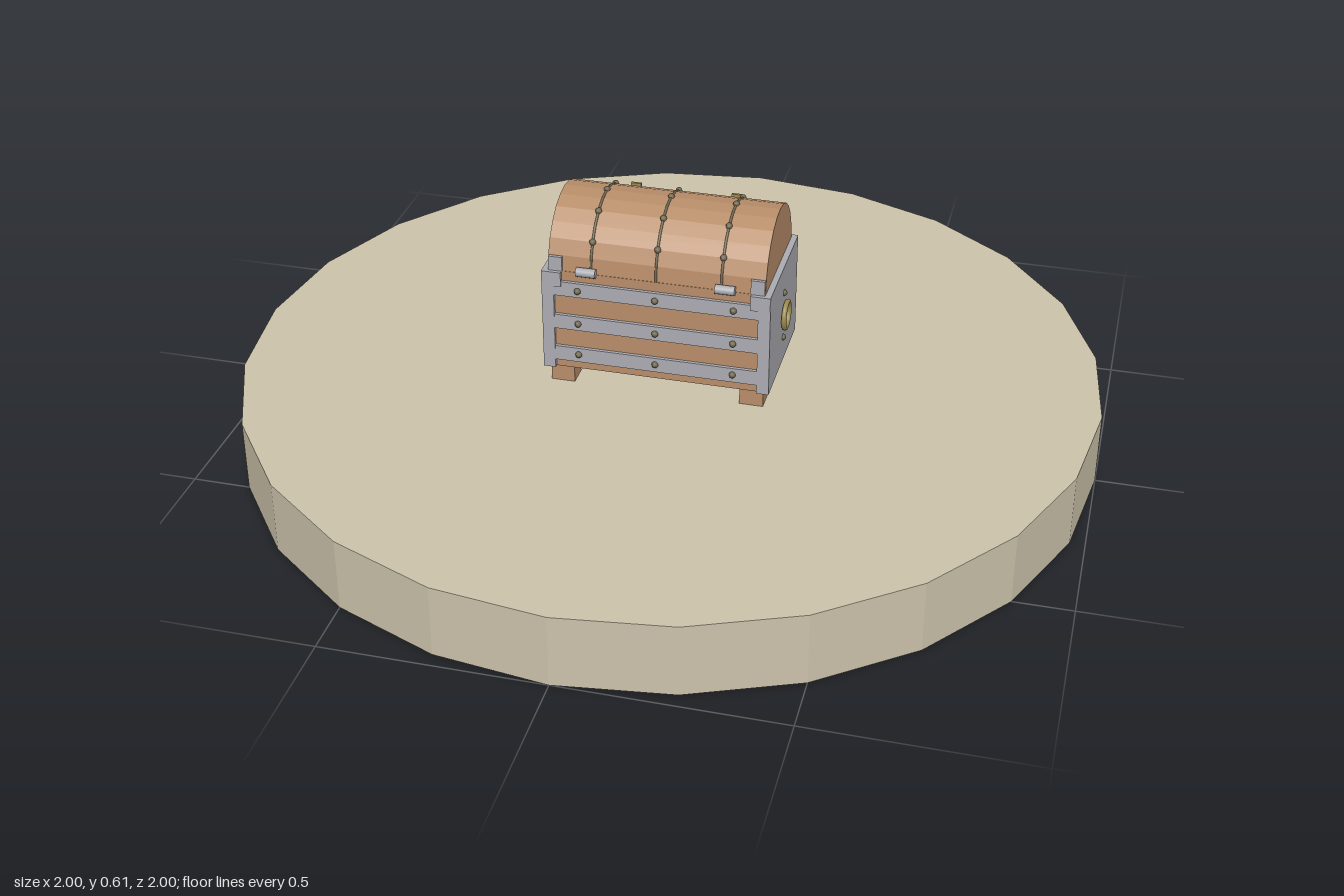
import * as THREE from 'three';

const mat = (name, color, opts = {}) => {
  const m = new THREE.MeshStandardMaterial({ color, ...opts });
  m.name = name;
  return m;
};

export function createModel() {
  const stone = mat('sandstone', 0xcbc2aa, { flatShading: true });
  const wood = mat('wood', 0xb88d69, { flatShading: true });
  const iron = mat('iron', 0xabacb2);
  const brass = mat('brass', 0x9c8c50);
  const stud = mat('dark stud', 0x706850);

  const model = new THREE.Group();
  model.name = 'chestOnPedestal';

  const add = (name, geo, material, x, y, z) => {
    const mesh = new THREE.Mesh(geo, material);
    mesh.name = name;
    mesh.position.set(x, y, z);
    model.add(mesh);
    return mesh;
  };
  const box = (name, material, w, h, d, x, y, z) =>
    add(name, new THREE.BoxGeometry(w, h, d), material, x, y, z);
  const studGeo = new THREE.SphereGeometry(0.008, 8, 6);
  const rivet = (x, y, z, material = stud) => add('rivet', studGeo, material, x, y, z);

  // Round pedestal
  add('pedestal', new THREE.CylinderGeometry(1, 1, 0.17, 24), stone, 0, 0.085, 0);

  // Wooden body with iron end plates
  box('body', wood, 0.5, 0.25, 0.288, 0, 0.335, 0);
  for (const sx of [-1, 1]) {
    box('endPlate', iron, 0.015, 0.25, 0.306, sx * 0.2565, 0.335, 0);
    for (const sz of [-1, 1]) {
      box('foot', wood, 0.055, 0.042, 0.052, sx * 0.222, 0.19, sz * 0.115);
      box('cornerPost', iron, 0.028, 0.25, 0.016, sx * 0.25, 0.335, sz * 0.145);
      box('cornerBracket', iron, 0.045, 0.036, 0.014, sx * 0.241, 0.442, sz * 0.148);
      box('lidCornerClip', iron, 0.032, 0.036, 0.014, sx * 0.233, 0.477, sz * 0.139);
    }
  }

  // Iron rails with rivets, front and back
  for (const sz of [-1, 1]) {
    for (const [y, ry] of [[0.418, 0.417], [0.332, 0.332], [0.249, 0.251]]) {
      box('rail', iron, 0.48, 0.036, 0.012, 0, y, sz * 0.146);
      for (const x of [-0.18, 0, 0.18]) if (sz > 0 || x !== 0) rivet(x, ry, sz * 0.153);
    }
  }

  // Barrel lid, a closed half cylinder
  const R = 0.143;
  const profile = new THREE.Shape();
  for (let i = 0; i <= 12; i++) {
    const a = (i / 12) * Math.PI;
    if (i) profile.lineTo(R * Math.cos(a), R * Math.sin(a));
    else profile.moveTo(R, 0);
  }
  profile.closePath();
  const lidGeo = new THREE.ExtrudeGeometry(profile, { depth: 0.5, bevelEnabled: false });
  lidGeo.translate(0, 0, -0.25).rotateY(Math.PI / 2);
  add('lid', lidGeo, wood, 0, 0.46, 0);

  // Thin bands over the lid, studded along the arc
  for (const x of [-0.15, 0, 0.15]) {
    const band = add('lidBand', new THREE.TorusGeometry(R, 0.003, 6, 12, Math.PI), stud, x, 0.46, 0);
    band.rotation.y = Math.PI / 2;
    for (let i = 1; i < 6; i++) {
      const a = (i * Math.PI) / 6;
      rivet(x, 0.46 + R * Math.sin(a), R * Math.cos(a));
    }
  }

  // Hinges at the front
  for (const x of [-0.16, 0.16]) {
    const pin = add('hinge', new THREE.CylinderGeometry(0.011, 0.011, 0.045, 10), iron, x, 0.465, 0.149);
    pin.rotation.z = Math.PI / 2;
  }

  // Ring handles and rivets on the ends
  for (const sx of [-1, 1]) {
    const ring = add('ringHandle', new THREE.TorusGeometry(0.031, 0.006, 8, 24), brass, sx * 0.271, 0.335, 0);
    ring.rotation.y = Math.PI / 2;
    for (const y of [0.392, 0.275]) rivet(sx * 0.264, y, 0);
  }

  // Lock at the back: plate, hasp, knob and key bolt
  box('lockPlate', brass, 0.085, 0.14, 0.018, 0, 0.35, -0.159);
  box('hasp', brass, 0.065, 0.05, 0.018, 0, 0.47, -0.148);
  box('haspStrap', brass, 0.03, 0.05, 0.01, 0, 0.435, -0.158);
  add('lockKnob', new THREE.SphereGeometry(0.015, 12, 8), iron, 0, 0.347, -0.175);
  const bolt = add('lockBolt', new THREE.CylinderGeometry(0.014, 0.014, 0.014, 10), brass, 0, 0.3, -0.174);
  bolt.rotation.x = Math.PI / 2;
  rivet(0, 0.472, -0.158);

  // Small brass tabs standing off the lid
  for (const x of [-0.12, 0.12]) {
    box('lidTab', brass, 0.024, 0.025, 0.006, x, 0.542, -0.143);
    box('lidTabStem', brass, 0.01, 0.01, 0.03, x, 0.542, -0.128);
  }
  return model;
}
